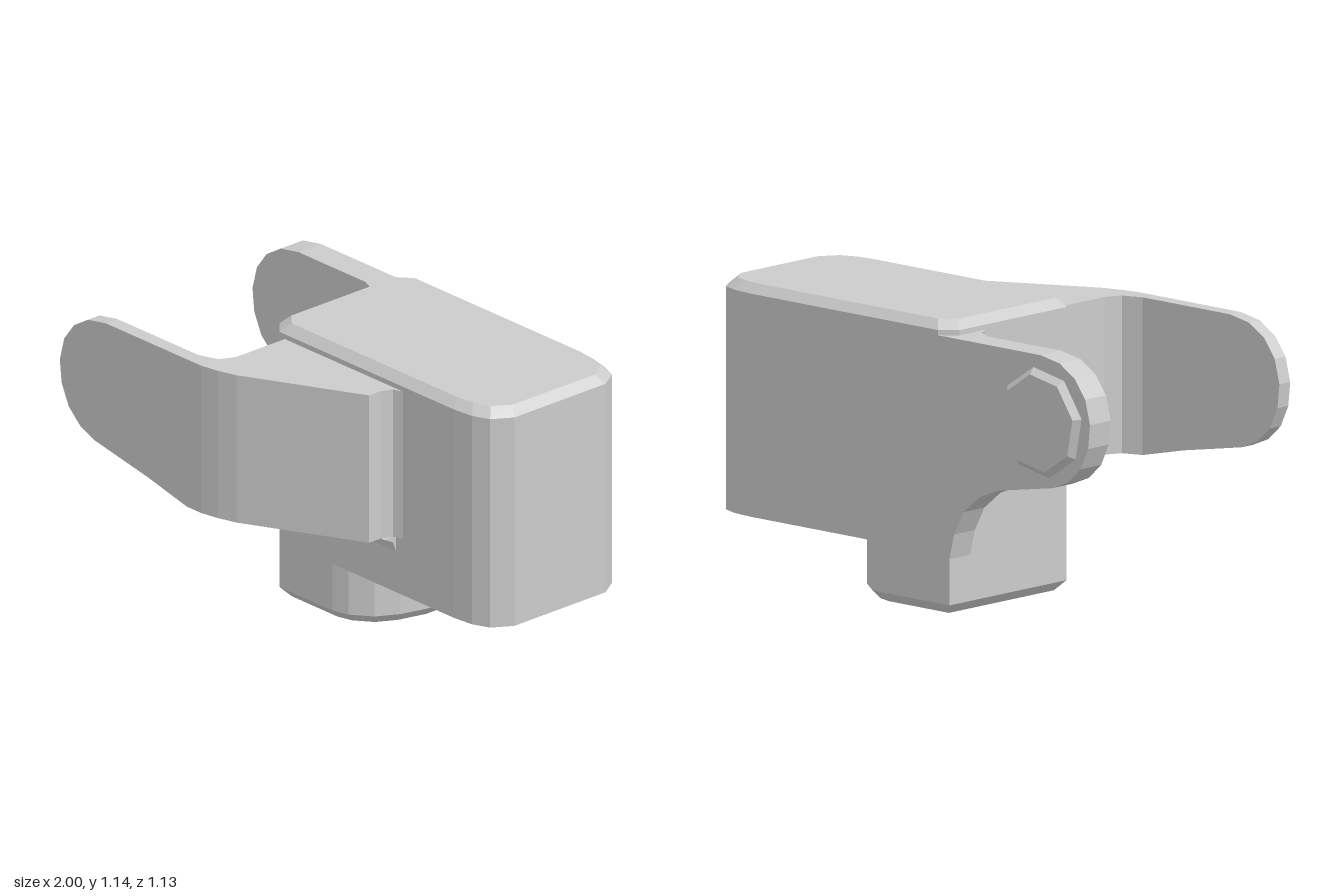
import * as THREE from 'three';

const grey = new THREE.MeshStandardMaterial({ color: 0xcccccc, flatShading: true });

function addMesh(group, name, geometry) {
  const mesh = new THREE.Mesh(geometry, grey);
  mesh.name = name;
  group.add(mesh);
}

// Extrude an outline along +z by depth
function extrude(points, depth) {
  const shape = new THREE.Shape(points.map(([a, b]) => new THREE.Vector2(a, b)));
  return new THREE.ExtrudeGeometry(shape, { depth, bevelEnabled: false });
}

// Plate with an (x, y) outline between two z values
const plateZ = (pts, z0, z1) => extrude(pts, z1 - z0).translate(0, 0, z0);

// Block with an (x, z) outline between two heights
const blockY = (pts, y0, y1) =>
  extrude(pts.map(([x, z]) => [x, -z]), y1 - y0).rotateX(-Math.PI / 2).translate(0, y0, 0);

// Strip with a (z, y) outline between two x values
const stripX = (pts, x0, x1) =>
  extrude(pts.map(([z, y]) => [-z, y]), x1 - x0).rotateY(Math.PI / 2).translate(x0, 0, 0);

// Convex (x, z) outline stacked through [height, inset] layers, capped at both ends
function stack(outline, layers) {
  const box = new THREE.Box2().setFromPoints(outline.map(([x, z]) => new THREE.Vector2(x, z)));
  const c = box.getCenter(new THREE.Vector2());
  const s = box.getSize(new THREE.Vector2());
  const n = outline.length;
  const pos = [];
  const index = [];
  layers.forEach(([y, inset]) => outline.forEach(([x, z]) => pos.push(
    c.x + (x - c.x) * (1 - 2 * inset / s.x), y, c.y + (z - c.y) * (1 - 2 * inset / s.y))));
  for (let k = 0; k < layers.length - 1; k++) {
    for (let i = 0; i < n; i++) {
      const a = k * n + i;
      const b = k * n + (i + 1) % n;
      index.push(a, b, b + n, a, b + n, a + n);
    }
  }
  const top = (layers.length - 1) * n;
  for (let i = 1; i < n - 1; i++) index.push(0, i + 1, i, top, top + i, top + i + 1);
  const g = new THREE.BufferGeometry();
  g.setAttribute('position', new THREE.Float32BufferAttribute(pos, 3));
  g.setIndex(index);
  const flat = g.toNonIndexed();
  flat.computeVertexNormals();
  return flat;
}

export function createModel() {
  const model = new THREE.Group();
  model.name = 'clampBracket';

  // Main housing with a bevelled top
  addMesh(model, 'housing', stack([
    [-0.2, 0.16], [0.79, 0.16], [0.88, 0.15], [0.95, 0.12], [1, 0.04],
    [1, -0.43], [0.95, -0.51], [0.88, -0.535], [0.79, -0.545],
    [-0.2, -0.545], [-0.26, -0.49], [-0.26, 0.105],
  ], [[0.235, 0], [1.105, 0], [1.14, 0.035]]));

  // Rounded foot below the housing
  addMesh(model, 'foot', stack([
    [-0.2, 0.16], [0.1, 0.16], [0.17, 0.14], [0.25, 0.08], [0.3, -0.01], [0.335, -0.14],
    [0.335, -0.24], [0.3, -0.375], [0.25, -0.465], [0.17, -0.525], [0.1, -0.545],
    [-0.26, -0.545], [-0.26, 0.105],
  ], [[0, 0.037], [0.04, 0], [0.235, 0]]));

  // Rounded end shared by both arms, from the top edge round to the underside
  const tip = [
    [-0.74, 1.085], [-0.84, 1.067], [-0.92, 1.018], [-0.975, 0.945], [-1, 0.85],
    [-0.99, 0.755], [-0.95, 0.67], [-0.885, 0.61], [-0.8, 0.575],
  ];

  // Back arm, blended into the housing corner and foot
  addMesh(model, 'backArm', plateZ([
    [-0.2, 1.085], ...tip, [-0.52, 0.525], [-0.42, 0.485], [-0.335, 0.415],
    [-0.285, 0.32], [-0.26, 0.22], [-0.2, 0.22],
  ], -0.545, -0.43));
  addMesh(model, 'backArmFillet', blockY([
    [-0.36, -0.43], [-0.29, -0.4], [-0.26, -0.34], [-0.25, -0.43],
  ], 0.44, 1.085));

  // Eight-sided tapered boss on the back arm
  addMesh(model, 'pivotBoss', new THREE.CylinderGeometry(0.19, 0.215, 0.025, 8)
    .rotateY(0.2).rotateX(-Math.PI / 2).translate(-0.745, 0.823, -0.5575));

  // Front arm: thin rounded end, then the angled web reaching the housing
  addMesh(model, 'frontArm', plateZ([
    [-0.28, 1.085], ...tip, [-0.5, 0.52], [-0.28, 0.47],
  ], 0.505, 0.565));
  addMesh(model, 'frontArmWeb', blockY([
    [-0.28, 0.505], [-0.28, 0.565], [-0.2, 0.565], [-0.12, 0.55], [-0.04, 0.525],
    [0.44, 0.28], [0.44, 0.22], [0.46, 0.175], [0.5, 0.16],
    [-0.17, 0.16], [-0.17, 0.41], [-0.2, 0.475],
  ], 0.47, 1.085));
  addMesh(model, 'webFillet', stripX([
    [0.16, 0.405], [0.175, 0.447], [0.22, 0.47], [0.16, 0.47],
  ], -0.17, 0.46));

  return model;
}
